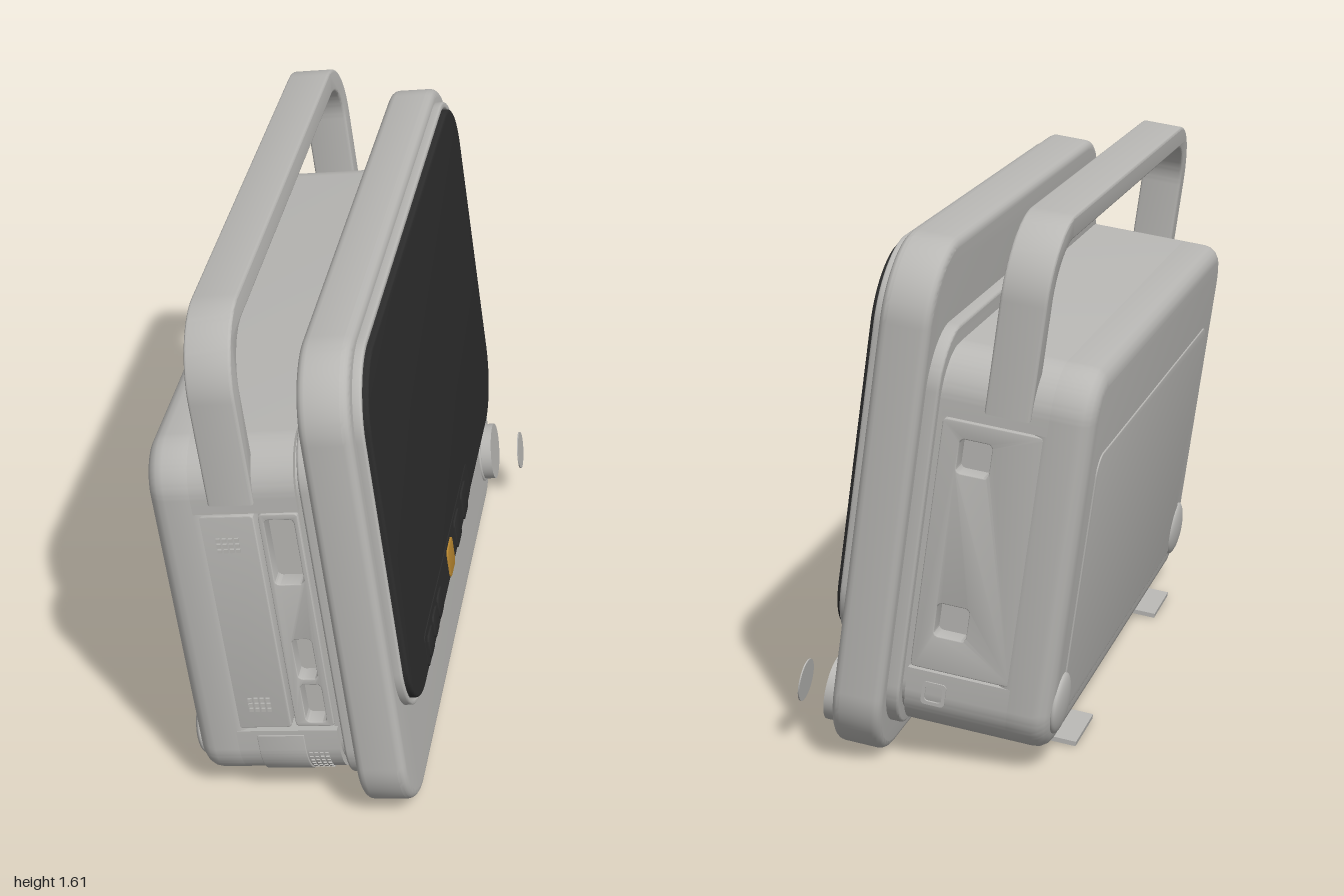
import * as THREE from 'three';
import { toCreasedNormals } from 'three/addons/utils/BufferGeometryUtils.js';

// Working frame: x = out through the screen, y = up along the tilted device, z = width.
export function createModel() {
  const mat = (name, color) => Object.assign(new THREE.MeshStandardMaterial({ color }), { name });
  const shell = mat('grey shell', 0xb8b7b4);
  const dark = mat('dark glass', 0x2c2c2c);
  const amber = mat('amber button', 0xb8862f);

  const model = new THREE.Group();
  model.name = 'tabletopDisplay';
  const device = new THREE.Group();
  device.name = 'tiltedDevice';
  device.rotation.z = THREE.MathUtils.degToRad(8);
  device.position.set(0.19, 0.005, 0);
  model.add(device);

  const add = (name, geometry, material = shell) => {
    const mesh = new THREE.Mesh(geometry, material);
    mesh.name = name;
    device.add(mesh);
    return mesh;
  };

  // Rounded rectangle between two corners
  const roundRect = (x0, y0, x1, y1, r, P = THREE.Shape) => {
    const s = new P();
    s.moveTo(x0 + r, y0);
    s.lineTo(x1 - r, y0);
    s.absarc(x1 - r, y0 + r, r, -Math.PI / 2, 0);
    s.lineTo(x1, y1 - r);
    s.absarc(x1 - r, y1 - r, r, 0, Math.PI / 2);
    s.lineTo(x0 + r, y1);
    s.absarc(x0 + r, y1 - r, r, Math.PI / 2, Math.PI);
    s.lineTo(x0, y0 + r);
    s.absarc(x0 + r, y0 + r, r, Math.PI, Math.PI * 1.5);
    return s;
  };
  const extrude = (shape, length, bevel) => toCreasedNormals(new THREE.ExtrudeGeometry(shape, {
    depth: length - 2 * bevel, bevelEnabled: bevel > 0, bevelThickness: bevel, bevelSize: bevel,
    bevelOffset: -bevel, bevelSegments: 4, curveSegments: 14,
  }), 0.5).translate(0, 0, bevel);
  // Shape drawn in (z, y), running from x0 to x1
  const alongX = (shape, x0, x1, bevel = 0) =>
    extrude(shape, x1 - x0, bevel).rotateY(-Math.PI / 2).translate(x1, 0, 0);
  // Shape drawn in (x, y), running from z0 to z1
  const alongZ = (shape, z0, z1, bevel = 0) => extrude(shape, z1 - z0, bevel).translate(0, 0, z0);

  // Front panel, screen rim and screen
  add('frontPanel', alongX(roundRect(-1, 0, 1, 1.54, 0.22), 0, 0.147, 0.025));
  const rim = roundRect(-0.955, 0.315, 0.955, 1.508, 0.21);
  rim.holes.push(roundRect(-0.938, 0.33, 0.938, 1.488, 0.195, THREE.Path));
  add('screenRim', alongX(rim, 0.14, 0.172, 0.006));
  add('screen', alongX(roundRect(-0.933, 0.335, 0.933, 1.484, 0.19), 0.13, 0.187, 0.008), dark);

  // Touch buttons along the lower edge of the screen
  add('buttonStrip', alongX(roundRect(-0.29, 0.345, 0.68, 0.458, 0.02), 0.185, 0.19), dark);
  const buttons = [[0.61, 0.08], [0.51, 0.08], [0.41, 0.08], [0.165, 0.1], [0, 0.1], [-0.16, 0.1]];
  buttons.forEach(([z, s], i) => add('button' + (i + 1),
    alongX(roundRect(z - s / 2, 0.395 - s / 2, z + s / 2, 0.395 + s / 2, 0.02), 0.186, 0.195, 0.002),
    i === 3 ? amber : dark));

  // Dial with its separate cap disc
  const disc = (name, r, h, x) => {
    const g = new THREE.CylinderGeometry(r, r, h, 40).rotateZ(-Math.PI / 2);
    add(name, g).position.set(x, 0.16, -0.835);
  };
  disc('dial', 0.095, 0.06, 0.157);
  disc('dialCap', 0.063, 0.004, 0.275);
  add('dialRing', new THREE.TorusGeometry(0.097, 0.006, 8, 40).rotateY(Math.PI / 2))
    .position.set(0.147, 0.16, -0.835);

  // Stepped collar joining the panel to the housing
  add('collar', alongX(roundRect(-0.95, 0.095, 0.95, 1.3, 0.16), -0.036, 0.02, 0.008));
  add('neck', alongX(roundRect(-0.92, 0.14, 0.92, 1.245, 0.13), -0.06, 0));

  // Housing: rounded rear shell and a middle with recessed flanks
  const W = 0.94, B = 0.12, T = 1.263, R = 0.14, back = -0.475;
  add('rearHousing', alongX(roundRect(-W, B, W, T, R), back, -0.302, 0.05));
  const mid = new THREE.Shape();
  const floor = 0.88, lo = 0.32, hi = 1.076;
  mid.moveTo(-W + R, B);
  mid.lineTo(W - R, B);
  mid.absarc(W - R, B + R, R, -Math.PI / 2, 0);
  [[W, lo], [floor, lo], [floor, hi], [W, hi]].forEach(p => mid.lineTo(...p));
  mid.absarc(W - R, T - R, R, 0, Math.PI / 2);
  mid.absarc(-W + R, T - R, R, Math.PI / 2, Math.PI);
  [[-W, hi], [-floor, hi], [-floor, lo], [-W, lo]].forEach(p => mid.lineTo(...p));
  mid.absarc(-W + R, B + R, R, Math.PI, Math.PI * 1.5);
  add('middleHousing', alongX(mid, -0.352, -0.05));
  add('rearCover', alongX(roundRect(-0.8, 0.2, 0.8, 1.0, 0.06), back - 0.004, back + 0.01, 0.003));

  // Low domes at the bottom rear corners
  for (const s of [-1, 1]) {
    const dome = add(s > 0 ? 'leftRearDome' : 'rightRearDome', new THREE.SphereGeometry(0.09, 28, 16));
    dome.scale.x = 0.26;
    dome.position.set(back, 0.265, s * 0.82);
  }

  // Front flank: plain door and port column
  add('sideDoor', alongZ(roundRect(-0.344, 0.33, -0.182, 1.067, 0.012), 0.87, 0.937, 0.004));
  const ports = roundRect(-0.17, 0.33, -0.056, 1.067, 0.012);
  [[-0.155, 0.83, -0.07, 1.048], [-0.138, 0.5, -0.08, 0.64], [-0.138, 0.345, -0.076, 0.48]]
    .forEach(p => ports.holes.push(roundRect(...p, 0.015, THREE.Path)));
  add('portColumn', alongZ(ports, 0.87, 0.933, 0.003));

  // Rear flank: plate with two square sockets
  const sockets = roundRect(-0.346, 0.326, -0.055, 1.07, 0.012);
  for (const y of [0.97, 0.48]) {
    sockets.holes.push(roundRect(-0.205, y - 0.05, -0.11, y + 0.05, 0.015, THREE.Path));
  }
  add('socketPlate', alongZ(sockets, -0.938, -0.87, 0.003));
  const socketRing = roundRect(-0.17, 0.222, -0.1, 0.29, 0.012);
  socketRing.holes.push(roundRect(-0.16, 0.232, -0.11, 0.28, 0.01, THREE.Path));
  add('smallSocketFrame', alongZ(socketRing, -0.945, -0.925));

  // Curved flap wrapping the lower front corner
  const flap = new THREE.Shape();
  flap.absarc(W - R, B + R, R + 0.006, -1.15, 0);
  flap.lineTo(W + 0.006, 0.305);
  flap.lineTo(W - 0.01, 0.305);
  flap.absarc(W - R, B + R, R - 0.01, 0, -1.15, true);
  add('cornerFlap', alongX(flap, -0.29, -0.15, 0.002));

  // Vent dots; the lowest grille follows the rounded corner
  const dots = (name, x, y, cols, rows, step) => {
    for (let i = 0; i < cols; i++) for (let j = 0; j < rows; j++) {
      const py = y + (j - (rows - 1) / 2) * step;
      const drop = Math.max(0, B + R - py);
      const z = W - R + Math.sqrt(R * R - drop * drop);
      const dot = add(name, new THREE.BoxGeometry(step * 0.65, step * 0.6, 0.008));
      dot.position.set(x + (i - (cols - 1) / 2) * step, py, z);
      dot.rotation.x = Math.asin(drop / R);
    }
  };
  dots('upperVent', -0.267, 0.972, 4, 3, 0.018);
  dots('lowerVent', -0.265, 0.416, 4, 3, 0.018);
  dots('cornerGrille', -0.115, 0.195, 4, 6, 0.016);

  // Carry handle: an arch with legs on both flanks
  const arch = (half, top, r, s) => {
    s.moveTo(half, 1.108);
    s.lineTo(half, top - r);
    s.absarc(half - r, top - r, r, 0, Math.PI / 2);
    s.lineTo(-half + r, top);
    s.absarc(-half + r, top - r, r, Math.PI / 2, Math.PI);
    s.lineTo(-half, 1.108);
    return s;
  };
  const handle = arch(0.948, 1.652, 0.22, new THREE.Shape());
  handle.lineTo(-0.878, 1.108);
  handle.lineTo(-0.878, 1.432);
  handle.absarc(-0.728, 1.432, 0.15, Math.PI, Math.PI / 2, true);
  handle.lineTo(0.728, 1.582);
  handle.absarc(0.728, 1.432, 0.15, Math.PI / 2, 0, true);
  handle.lineTo(0.878, 1.108);
  add('carryHandle', alongX(handle, -0.302, -0.17, 0.008));

  // Bent sheet feet under the housing
  const foot = new THREE.Shape([[-0.514, 0.074], [-0.372, 0.074], [-0.35, 0.088], [-0.335, 0.135],
    [-0.355, 0.135], [-0.366, 0.098], [-0.378, 0.088], [-0.514, 0.088]]
    .map(p => new THREE.Vector2(...p)));
  for (const s of [-1, 1]) {
    add(s > 0 ? 'leftFoot' : 'rightFoot', alongZ(foot, s * 0.56 - 0.11, s * 0.56 + 0.11));
  }
  return model;
}
